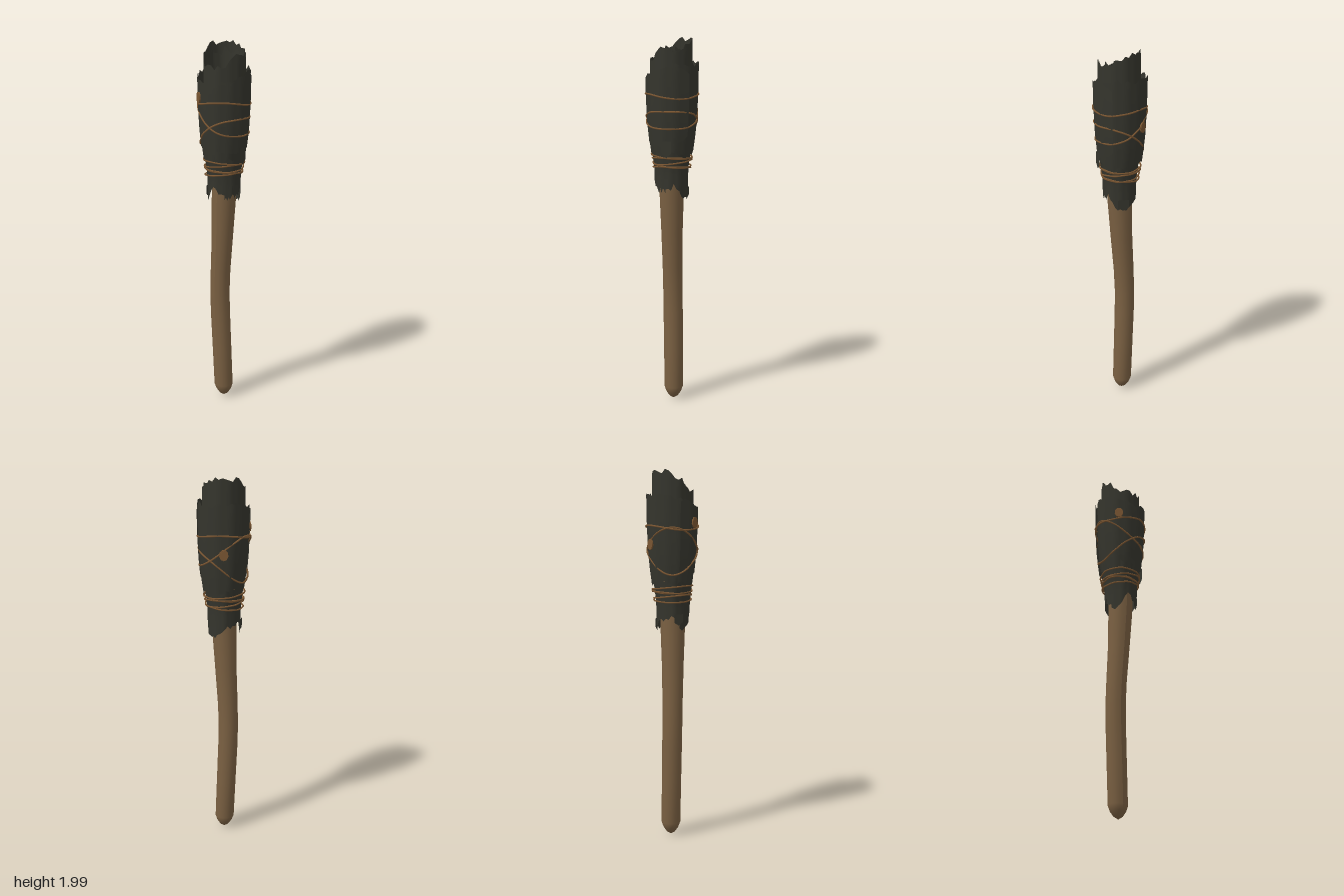
import * as THREE from 'three';

const lerp = THREE.MathUtils.lerp;

// Small seeded generator for the ragged edges
function seeded(seed) {
  return () => {
    seed = (seed * 16807) % 2147483647;
    return seed / 2147483647;
  };
}

// Linear lookup in a list of [y, radius]
function radiusAt(profile, y) {
  if (y <= profile[0][0]) return profile[0][1];
  for (let i = 1; i < profile.length; i++) {
    const [y0, r0] = profile[i - 1], [y1, r1] = profile[i];
    if (y <= y1) return lerp(r0, r1, (y - y0) / (y1 - y0));
  }
  return profile[profile.length - 1][1];
}

// Linear lookup in a closed list of edge heights, starting at the front and going towards +x
function edgeAt(list, turn) {
  const f = (((turn % 1) + 1) % 1) * list.length, i = Math.floor(f) % list.length;
  return lerp(list[i], list[(i + 1) % list.length], f - Math.floor(f));
}

// Grid of points (u around, v up) turned into a smooth surface
function gridSurface(cols, rows, point) {
  const pos = [], index = [];
  for (let j = 0; j <= rows; j++)
    for (let i = 0; i <= cols; i++) pos.push(...point(i, j));
  for (let j = 0; j < rows; j++)
    for (let i = 0; i < cols; i++) {
      const a = j * (cols + 1) + i, b = a + 1, c = a + cols + 1, d = c + 1;
      index.push(a, b, d, a, d, c);
    }
  const g = new THREE.BufferGeometry();
  g.setAttribute('position', new THREE.Float32BufferAttribute(pos, 3));
  g.setIndex(index);
  g.computeVertexNormals();
  return g;
}

// A strip of cloth rolled once around the shaft, with torn upper and lower edges
function clothWrap({ profile, top, bottom, start, overlap = 0.12, grow = 0.008, tear = 0.03, seed }) {
  const rnd = seeded(seed), sides = 12, sub = 3, rows = 6;
  const cols = Math.round(sides * sub * (1 + overlap));
  const tears = Array.from({ length: cols + 1 }, () => [rnd() * tear, rnd() * tear]);
  const bumps = Array.from({ length: sides * 2 }, () => (rnd() - 0.5) * 0.008);
  return gridSurface(cols, rows, (i, j) => {
    const turn = start + i / (sides * sub);
    const low = edgeAt(bottom, turn) + tears[i][0], high = edgeAt(top, turn) - tears[i][1];
    const y = lerp(low, high, j / rows);
    // Points lie on the flat sides of a polygon
    const k = Math.floor(i / sub), t = (i % sub) / sub;
    const corner = (n) => {
      const a = (start + n / sides) * Math.PI * 2;
      const r = radiusAt(profile, y) + bumps[n % bumps.length] + grow * n / sides;
      return [r * Math.sin(a), r * Math.cos(a)];
    };
    const p = corner(k), q = corner(k + 1);
    return [lerp(p[0], q[0], t), y, lerp(p[1], q[1], t)];
  });
}

export function createModel() {
  const group = new THREE.Group();
  const mat = (name, color, side = THREE.FrontSide) => {
    const m = new THREE.MeshStandardMaterial({ color, side });
    m.name = name;
    return m;
  };
  const wood = mat('wood', 0x7a6042);
  const cloth = mat('charred cloth', 0x35352d, THREE.DoubleSide);
  const cord = mat('cord', 0x7a5632);
  const add = (name, geometry, material) => {
    const mesh = new THREE.Mesh(geometry, material);
    mesh.name = name;
    group.add(mesh);
    return mesh;
  };

  // Bent wooden shaft: [y, x, z, radius]
  const rings = [
    [0, -0.006, -0.008, 0.001], [0.015, -0.007, -0.008, 0.024], [0.04, -0.008, -0.008, 0.041],
    [0.07, -0.009, -0.008, 0.052], [0.3, -0.018, -0.005, 0.053], [0.5, -0.026, -0.002, 0.054],
    [0.62, -0.028, 0, 0.054], [0.75, -0.023, 0.001, 0.055], [0.95, -0.01, 0.002, 0.059],
    [1.15, -0.001, 0.002, 0.066], [1.35, 0.008, 0, 0.069], [1.6, 0.015, 0, 0.072],
  ];
  add('shaft', gridSurface(16, rings.length - 1, (i, j) => {
    const [y, x, z, r] = rings[j], a = (i / 16) * Math.PI * 2;
    return [x + r * Math.sin(a), y, z + r * Math.cos(a)];
  }), wood);

  // Burnt rounded end inside the wrapping
  const dome = add('burntCore', new THREE.SphereGeometry(0.083, 16, 8, 0, Math.PI * 2, 0, Math.PI / 2), cloth);
  dome.position.set(0.015, 1.6, 0);
  dome.scale.y = 1.5;

  // Wrapping layers
  const body = [[1.32, 0.093], [1.42, 0.11], [1.55, 0.124], [1.7, 0.131], [1.87, 0.134]];
  add('collarWrap', clothWrap({
    profile: [[1.13, 0.082], [1.3, 0.086], [1.46, 0.108]],
    top: [1.44, 1.45, 1.43, 1.44], start: 0.1, seed: 17, tear: 0.04,
    bottom: [1.22, 1.17, 1.17, 1.19, 1.14, 1.13, 1.16, 1.2, 1.18, 1.14],
  }), cloth);
  add('middleWrap', clothWrap({
    profile: body, top: [1.8, 1.82, 1.86, 1.87, 1.87, 1.87, 1.86, 1.83], start: 0.55, seed: 91,
    bottom: [1.36, 1.38, 1.38, 1.36, 1.37, 1.39, 1.37, 1.38],
  }), cloth);
  add('outerWrap', clothWrap({
    profile: body.map(([y, r]) => [y, r + 0.008]), start: 0.8, overlap: -0.42, grow: 0.004,
    top: [1.78, 1.82, 1.86, 1.83, 1.8, 1.8, 1.84, 1.84], seed: 203, tear: 0.025,
    bottom: [1.43, 1.41, 1.42, 1.46, 1.5, 1.5, 1.46, 1.44],
  }), cloth);
  add('topWrap', clothWrap({
    profile: [[1.55, 0.108], [1.8, 0.107], [2, 0.106]], start: 0.3, tear: 0.04, seed: 411,
    top: [1.9, 1.91, 1.95, 1.95, 1.96, 2.0, 2.0, 2.0, 1.97, 1.91],
    bottom: [1.58, 1.6, 1.58, 1.6],
  }), cloth);
  add('innerWrap', clothWrap({
    profile: [[1.55, 0.084], [1.75, 0.09], [1.95, 0.1]], start: 0.7, tear: 0.05, seed: 77, grow: 0.004,
    top: [1.87, 1.9, 1.93, 1.96, 1.97, 1.95, 1.91], bottom: [1.6, 1.62, 1.6, 1.62],
  }), cloth);

  // Cords: closed loops whose height follows the angle
  const cordLoop = (name, height, offset, thick) => {
    const pts = [];
    for (let i = 0; i < 36; i++) {
      const a = (i / 36) * Math.PI * 2, y = height(a);
      const r = radiusAt(body, y) + offset + 0.002 * Math.sin(a * 7 + y * 40);
      pts.push(new THREE.Vector3(r * Math.sin(a), y, r * Math.cos(a)));
    }
    add(name, new THREE.TubeGeometry(new THREE.CatmullRomCurve3(pts, true), 72, thick, 5, true), cord);
  };
  for (let i = 0; i < 5; i++) {
    cordLoop('collarCord', (a) => 1.305 + i * 0.016 + 0.012 * Math.sin(a + i * 2.1), 0.007, 0.0045);
  }
  cordLoop('upperCord', (a) => 1.688 + 0.012 * Math.sin(2 * a + 0.6), 0.009, 0.005);
  cordLoop('risingCord', (a) => 1.545 + 0.085 * Math.sin(a) + 0.02 * Math.cos(2 * a), 0.009, 0.005);
  cordLoop('fallingCord', (a) => 1.585 - 0.085 * Math.sin(a) - 0.02 * Math.cos(2 * a), 0.009, 0.005);

  // Small flat knots on the wrapping
  for (const [a, y] of [[-0.6, 1.715], [3.7, 1.6]]) {
    const r = radiusAt(body, y) + 0.011;
    const knot = add('knot', new THREE.CylinderGeometry(0.024, 0.024, 0.008, 9).rotateX(Math.PI / 2), cord);
    knot.position.set(r * Math.sin(a), y, r * Math.cos(a));
    knot.rotation.y = a;
    knot.scale.y = 1.25;
  }

  // Loose torn flaps: [angle, y, radius, width, length]
  const flaps = [
    [1.5, 1.41, 0.125, 0.05, 0.09], [-1.2, 1.2, 0.092, 0.05, 0.06],
    [1.3, 1.22, 0.09, 0.04, 0.06], [-0.9, 1.17, 0.084, 0.04, 0.06], [2.9, 1.17, 0.087, 0.06, 0.06],
  ];
  for (const [a, y, r, w, h] of flaps) {
    const s = new THREE.Shape([[-w / 2, h / 2], [-w / 2, -h / 4], [0, -h / 2], [w / 2, -h / 5], [w / 2, h / 2]]
      .map(([px, py]) => new THREE.Vector2(px, py)));
    const flap = add('tornFlap', new THREE.ShapeGeometry(s), cloth);
    flap.position.set(r * Math.sin(a), y, r * Math.cos(a));
    flap.rotation.y = a;
  }
  return group;
}
